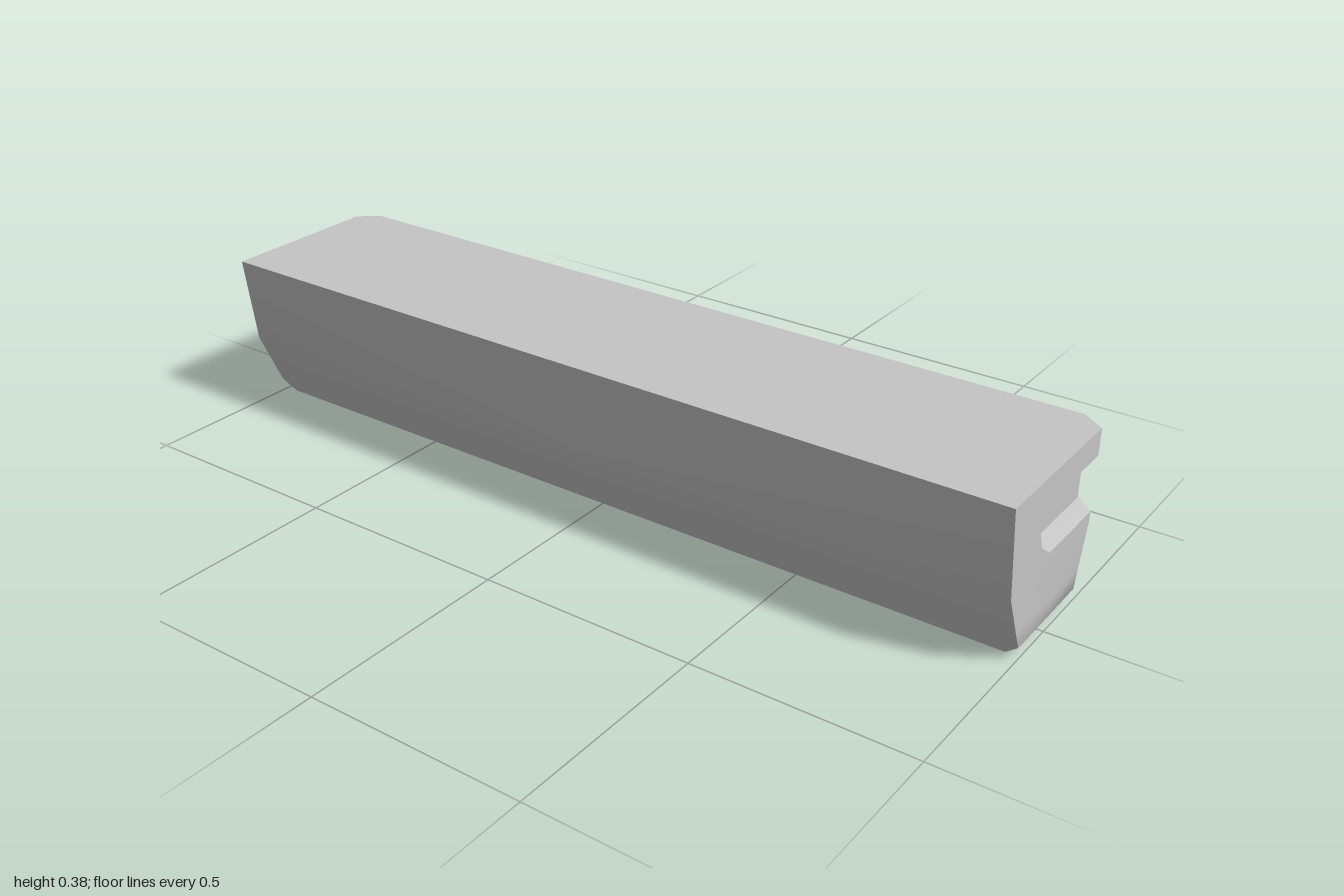
import * as THREE from 'three';

const V = (x, y, z) => new THREE.Vector3(x, y, z);

// Levels of the hull: y, front z, back z, half length
const levels = [
  [0, 0.108, -0.142, 0.97],
  [0.028, 0.121, -0.175, 1],
  [0.07, 0.141, -0.186, 1],
  [0.167, 0.185, -0.213, 1],
  [0.375, 0.213, -0.213, 1],
];
const CUT_Z = 0.038, CUT_X = 0.05; // bevelled back corners

// Grip outlines as [z, y], from the top edge round the tip to the bottom edge
const rim = [[-0.175, 0.315], [0.06, 0.315], [0.085, 0.278], [0.063, 0.22], [0.02, 0.19], [-0.175, 0.19]];
const floor = [[-0.19, 0.301], [0.04, 0.301], [0.063, 0.265], [0.052, 0.232], [0.01, 0.204], [-0.19, 0.204]];

// The end outline, and the same outline turned round the corner onto the back
const onEnd = (outline, x) => outline.map(([z, y]) => V(x, y, z));
const onBack = (outline, z, cornerX) => outline.map(([a, y], i) =>
  V(i === 0 || i === outline.length - 1 ? cornerX : 0.787 - a, y, z)).reverse();

const cross = (a, b, c) => b.clone().sub(a).cross(c.clone().sub(a));

function addTriangle(tris, a, b, c) {
  if (cross(a, b, c).length() > 1e-9) tris.push([a, b, c]);
}

function addQuad(tris, a, b, c, d) {
  addTriangle(tris, a, b, c);
  addTriangle(tris, a, c, d);
}

// Flat polygon in 3D, counter-clockwise seen from outside
function addPolygon(tris, pts) {
  const n = V(0, 0, 0);
  pts.forEach((p, i) => n.add(p.clone().cross(pts[(i + 1) % pts.length])));
  const [ax, ay, az] = [Math.abs(n.x), Math.abs(n.y), Math.abs(n.z)];
  const flat = pts.map((p) => ax > ay && ax > az ? new THREE.Vector2(p.z, p.y)
    : ay > az ? new THREE.Vector2(p.x, p.z) : new THREE.Vector2(p.x, p.y));
  for (const [i, j, k] of THREE.ShapeUtils.triangulateShape(flat, [])) {
    const outward = cross(pts[i], pts[j], pts[k]).dot(n) > 0;
    addTriangle(tris, pts[i], pts[outward ? j : k], pts[outward ? k : j]);
  }
}

const mirror = (tris) => tris.map(([a, b, c]) => [a, c, b].map((p) => V(-p.x, p.y, p.z)));

// Area-weighted normals that stay sharp above the crease angle
function toGeometry(tris, crease = 0.96) {
  const key = (p) => p.toArray().map((v) => Math.round(v * 1e4) + 0).join();
  const normals = tris.map(([a, b, c]) => cross(a, b, c));
  const touching = {};
  tris.forEach((t, i) => t.forEach((p) => (touching[key(p)] ??= []).push(normals[i])));
  const position = [], normal = [];
  tris.forEach((t, i) => t.forEach((p) => {
    const sum = V(0, 0, 0);
    for (const n of touching[key(p)]) if (n.angleTo(normals[i]) < crease) sum.add(n);
    position.push(...p.toArray());
    normal.push(...sum.normalize().toArray());
  }));
  const g = new THREE.BufferGeometry();
  g.setAttribute('position', new THREE.Float32BufferAttribute(position, 3));
  g.setAttribute('normal', new THREE.Float32BufferAttribute(normal, 3));
  return g;
}

// Left half of the hull, open where the grip is cut in
function halfBody() {
  const tris = [];
  const rings = levels.map(([y, zf, zb, x]) => [
    V(0, y, zf), V(x, y, zf), V(x, y, zb + CUT_Z), V(x - CUT_X, y, zb), V(0, y, zb),
  ]);
  for (let r = 0; r < 3; r++) {
    for (let i = 0; i < 4; i++) {
      addQuad(tris, rings[r][i], rings[r][i + 1], rings[r + 1][i + 1], rings[r + 1][i]);
    }
  }
  const lo = rings[3], hi = rings[4];
  addPolygon(tris, [...rings[0]].reverse()); // underside
  addPolygon(tris, hi); // top
  addQuad(tris, lo[0], lo[1], hi[1], hi[0]); // upper front

  // Upper end and back, notched by the grip
  const endRim = onEnd(rim, 1).reverse();
  const backRim = onBack(rim, -0.213, 0.95).reverse();
  addPolygon(tris, [lo[1], lo[2], ...endRim, hi[2], hi[1]]);
  addPolygon(tris, [lo[3], lo[4], hi[4], hi[3], ...backRim]);

  // Corner bevel below and above the grip
  addQuad(tris, lo[2], lo[3], backRim[5], endRim[0]);
  addQuad(tris, endRim[5], backRim[0], hi[3], hi[2]);
  return tris;
}

// Recessed grip wrapped round a back corner
function grip() {
  const tris = [];
  const endFloor = onEnd(floor, 0.965), backFloor = onBack(floor, -0.19, 0.965);
  const outer = [...onEnd(rim, 1), ...onBack(rim, -0.213, 0.95)];
  const inner = [...endFloor, ...backFloor];
  outer.forEach((p, i) => {
    const j = (i + 1) % outer.length;
    addQuad(tris, p, outer[j], inner[j], inner[i]);
  });
  addPolygon(tris, endFloor);
  addPolygon(tris, backFloor);
  return tris;
}

export function createModel() {
  const group = new THREE.Group();
  const grey = new THREE.MeshStandardMaterial({ color: 0xc4c4c4 });
  grey.name = 'light grey';
  const add = (name, tris) => {
    const mesh = new THREE.Mesh(toGeometry(tris), grey);
    mesh.name = name;
    group.add(mesh);
  };

  const half = halfBody();
  add('body', [...half, ...mirror(half)]);
  add('leftGripRecess', grip());
  add('rightGripRecess', mirror(grip()));
  return group;
}
